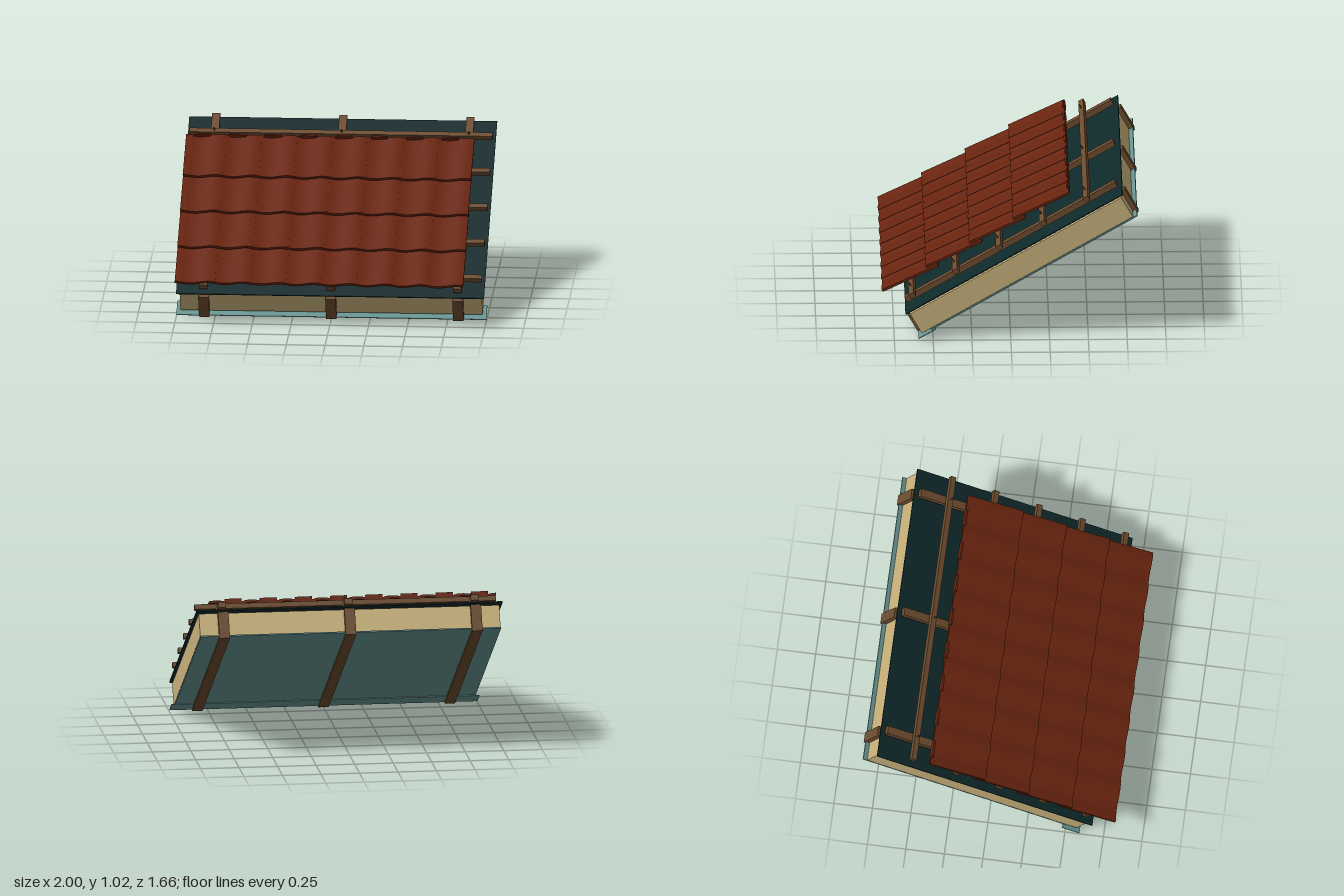
import * as THREE from 'three';

const mat = (name, color) => {
  const m = new THREE.MeshStandardMaterial({ color });
  m.name = name;
  return m;
};

export function createModel() {
  const wood = mat('wood', 0x6c4c2f);
  const clay = mat('clay', 0x68240f);
  const wool = mat('insulation', 0xc8b27c);
  const teal = mat('vapour barrier', 0x679592);
  const dark = mat('underlay', 0x0e2829);

  const model = new THREE.Group();
  model.name = 'roofSection';

  // Slope frame: y is the roof normal, -z runs up the slope
  const roof = new THREE.Group();
  roof.name = 'pitchedLayers';
  roof.position.z = 0.59;
  roof.rotation.x = Math.PI / 6;
  model.add(roof);

  // Box from ranges: x across, n along the normal, u up the slope
  const slab = (name, m, [x0, x1], [n0, n1], [u0, u1], parent = roof) => {
    const mesh = new THREE.Mesh(new THREE.BoxGeometry(x1 - x0, n1 - n0, u1 - u0), m);
    mesh.position.set((x0 + x1) / 2, (n0 + n1) / 2, -(u0 + u1) / 2);
    mesh.name = name;
    parent.add(mesh);
    return mesh;
  };

  // Lower sheet with a wider lap strip at the eaves
  slab('vapourBarrier', teal, [-0.975, 0.975], [0.014, 0.022], [0.1, 1.632]);
  slab('vapourBarrierStrip', teal, [-1, 1], [0.009, 0.014], [0.003, 0.13]);

  // Rafters, and the counter battens above them
  const rafterX = [-0.82, 0, 0.82];
  for (const x of rafterX) {
    slab('rafter', wood, [x - 0.034, x + 0.034], [0, 0.178], [0, 1.635]);
    slab('counterBatten', wood, [x - 0.026, x + 0.026], [0.215, 0.252], [0.038, 1.603]);
  }

  // Insulation fills the bays between rafters
  const bays = [[-0.975, -0.854], [-0.786, -0.034], [0.034, 0.786], [0.854, 0.975]];
  for (const bay of bays) slab('insulation', wool, bay, [0.026, 0.177], [0.035, 1.605]);

  // Upper sheet
  slab('underlay', dark, [-0.997, 0.99], [0.19, 0.197], [0.012, 1.625]);

  // Horizontal tile battens with nails at the crossings
  const rowStep = 0.324;
  for (let i = 0; i < 5; i++) {
    const u = 0.11 + i * rowStep;
    slab('tileBatten', wood, [-0.98, 0.975], [0.262, 0.295], [u - 0.018, u + 0.018]);
    for (const x of rafterX) {
      const nail = new THREE.Mesh(new THREE.CylinderGeometry(0.005, 0.005, 0.06, 8), wood);
      nail.position.set(x, 0.29, -u);
      nail.name = 'nail';
      roof.add(nail);
    }
  }

  // Tile: shallow pan on the left, low roll on the right, extruded along its length
  const width = 0.26, pitch = 0.2286, length = 0.4, thick = 0.016;
  const wave = t => 0.008 * Math.cos(((t - 0.85) / 0.5) * Math.PI) * (t < 0.2 ? 0.6 : 1);
  const steps = 14;
  const profile = new THREE.Shape();
  for (let i = 0; i <= steps; i++) {
    const t = i / steps;
    if (i === 0) profile.moveTo(0, wave(0) - thick / 2);
    else profile.lineTo(t * width, wave(t) - thick / 2);
  }
  for (let i = steps; i >= 0; i--) profile.lineTo((i / steps) * width, wave(i / steps) + thick / 2);
  profile.closePath();
  const tileGeo = new THREE.ExtrudeGeometry(profile, { depth: length, bevelEnabled: false });
  tileGeo.translate(0, 0, -length);

  // Four overlapping courses of eight tiles, each tipped up at its lower end
  for (let row = 0; row < 4; row++) {
    const course = new THREE.Group();
    course.name = 'tileCourse';
    course.position.set(0, 0.369, 0.058 - row * rowStep);
    course.rotation.x = -0.082;
    roof.add(course);
    for (let col = 0; col < 8; col++) {
      const tile = new THREE.Group();
      tile.name = 'tile';
      tile.position.x = -0.996 + col * pitch;
      // Each tile laps slightly over its neighbour
      tile.rotation.z = -0.012;
      const body = new THREE.Mesh(tileGeo, clay);
      body.name = 'tileBody';
      tile.add(body);
      // Raised rib across the head
      slab('headRib', clay, [0.05, 0.16], [-0.01, 0.024], [length - 0.012, length], tile);
      course.add(tile);
    }
  }
  return model;
}
